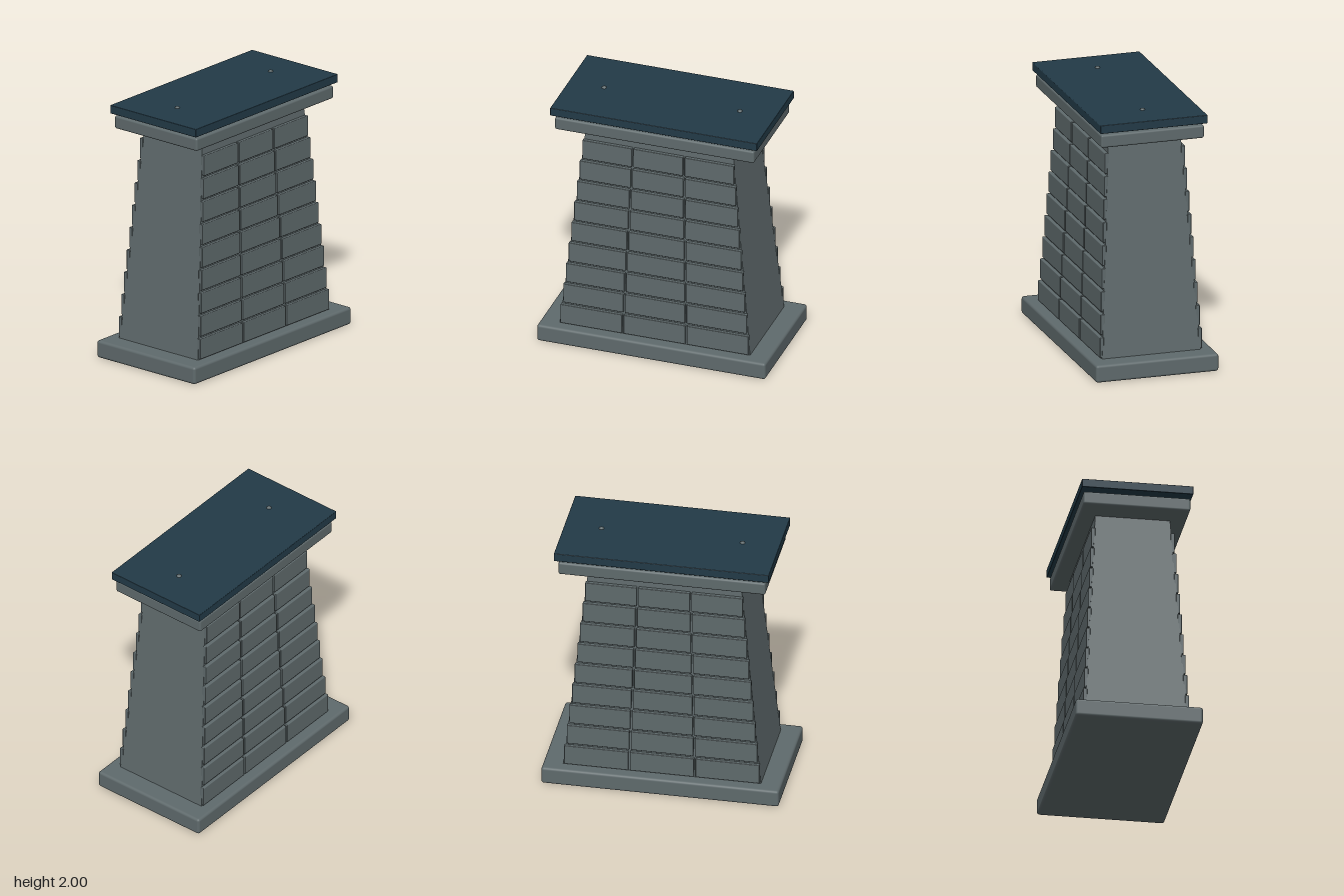
import * as THREE from 'three';
import { RoundedBoxGeometry } from 'three/addons/geometries/RoundedBoxGeometry.js';

const stone = new THREE.MeshStandardMaterial({ color: 0x5f6a6c });
stone.name = 'grey stone';
const slate = new THREE.MeshStandardMaterial({ color: 0x223a47 });
slate.name = 'dark blue slab';

export function createModel() {
  const model = new THREE.Group();
  model.name = 'pedestal';

  const add = (name, geometry, material, x, y, z) => {
    const mesh = new THREE.Mesh(geometry, material);
    mesh.name = name;
    mesh.position.set(x, y, z);
    model.add(mesh);
    return mesh;
  };

  // Rounded block spanning y0..y1 with the given half width and half depth
  const block = (name, material, hx, y0, y1, hz, r) =>
    add(name, new RoundedBoxGeometry(hx * 2, y1 - y0, hz * 2, 3, r), material, 0, (y0 + y1) / 2, 0);

  block('base', stone, 0.9, 0.005, 0.14, 0.48, 0.02);
  block('capital', stone, 0.785, 1.8, 1.9, 0.403, 0.015);
  block('topSlab', slate, 0.815, 1.922, 1.987, 0.42, 0.005);

  // Tapered core: a box narrowed linearly toward the top
  const y0 = 0.13, y1 = 1.81;
  const halfX = (y) => THREE.MathUtils.mapLinear(y, 0.14, 1.8, 0.75, 0.579);
  const halfZ = (y) => THREE.MathUtils.mapLinear(y, 0.14, 1.8, 0.386, 0.282);
  const core = new THREE.BoxGeometry(2, y1 - y0, 2);
  const p = core.attributes.position;
  for (let i = 0; i < p.count; i++) {
    const y = p.getY(i) + (y0 + y1) / 2;
    p.setX(i, p.getX(i) * halfX(y));
    p.setZ(i, p.getZ(i) * halfZ(y));
  }
  core.computeVertexNormals();
  add('taperedCore', core, stone, 0, (y0 + y1) / 2, 0);

  // Stepped courses of three bricks on the front and back
  const rows = 9, height = 0.159, gap = 0.012, depth = 0.032;
  for (let row = 0; row < rows; row++) {
    const y = 0.225 + row * 0.1737;
    const pitch = (halfX(y) * 2 + gap) / 3;
    const outer = 0.4 - row * 0.0106;
    const brick = new RoundedBoxGeometry(pitch - gap, height, depth, 2, 0.006);
    for (const side of [1, -1]) {
      for (let col = -1; col <= 1; col++) {
        add(side > 0 ? 'frontBrick' : 'backBrick', brick, stone, col * pitch, y, side * (outer - depth / 2));
      }
    }
  }

  // Small round studs on the slab
  const stud = new THREE.SphereGeometry(0.021, 16, 12);
  add('leftStud', stud, stone, 0.535, 1.979, 0);
  add('rightStud', stud, stone, -0.535, 1.979, 0);

  return model;
}
